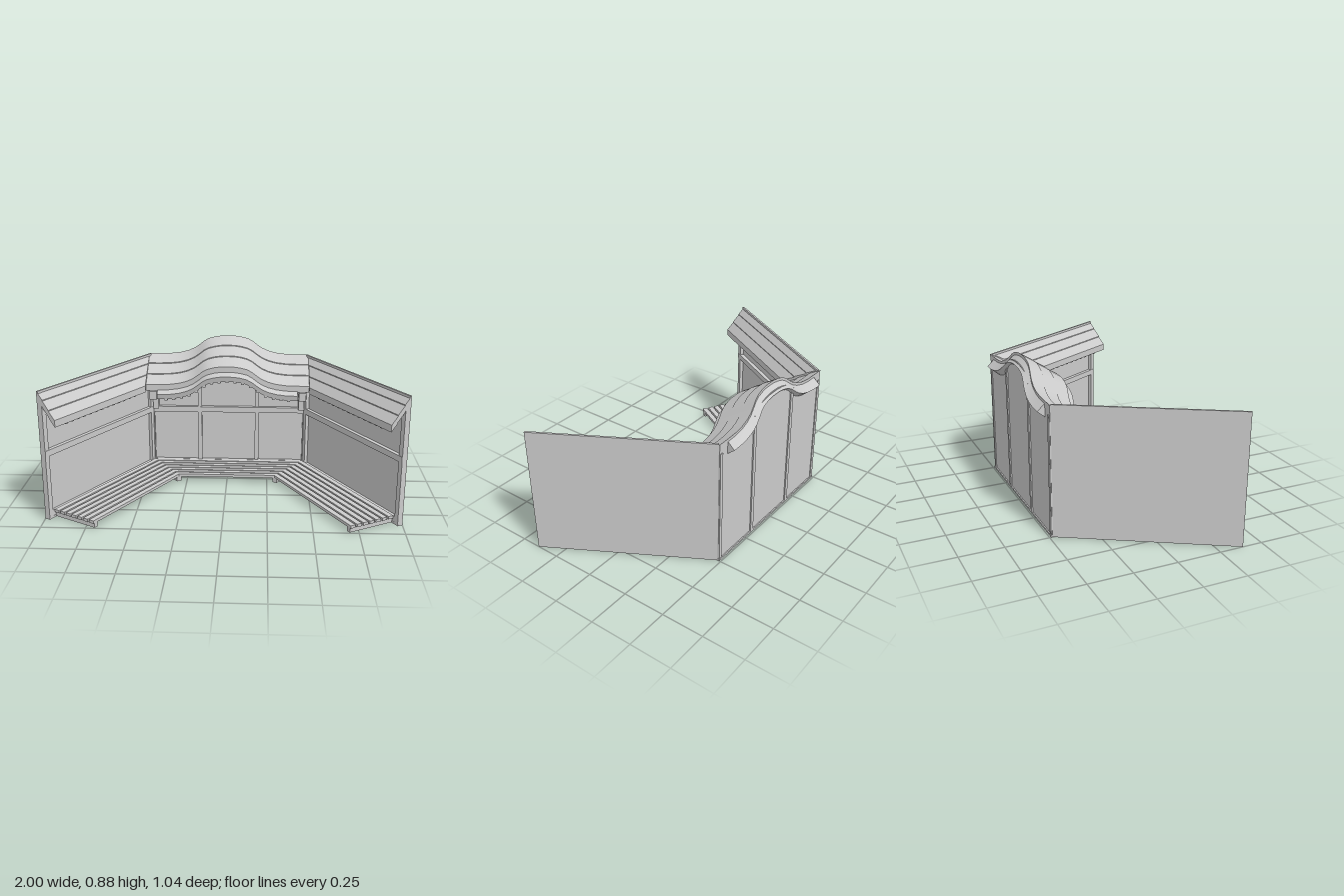
import * as THREE from 'three';
import { toCreasedNormals } from 'three/addons/utils/BufferGeometryUtils.js';

const material = new THREE.MeshStandardMaterial({ color: 0xcccccc, side: THREE.DoubleSide });

// Half of the arch: [distance from the middle, rise]
const ARCH = [[0, 0.125], [0.04, 0.124], [0.08, 0.118], [0.12, 0.107], [0.15, 0.09], [0.18, 0.065],
  [0.21, 0.043], [0.25, 0.024], [0.3, 0.01], [0.36, 0.002], [0.43, 0], [0.5, 0]];

function rise(x) {
  const a = Math.abs(x);
  for (let i = 1; i < ARCH.length; i++) {
    const [x0, y0] = ARCH[i - 1], [x1, y1] = ARCH[i];
    if (a <= x1) return y0 + (y1 - y0) * (a - x0) / (x1 - x0);
  }
  return 0;
}

function stations(half) {
  const right = ARCH.map(p => p[0]).filter(x => x <= half);
  return [...right.slice(1).reverse().map(x => -x), ...right];
}

// Closed solid through rings of [x, y, z] points, always wound outwards
function loft(name, rings) {
  const n = rings[0].length, pts = rings.flat(), faces = [];
  for (let r = 0; r < rings.length - 1; r++) {
    for (let i = 0; i < n; i++) {
      const a = r * n + i, b = r * n + (i + 1) % n;
      faces.push([a, b, b + n], [a, b + n, a + n]);
    }
  }
  const last = (rings.length - 1) * n;
  for (let i = 1; i < n - 1; i++) faces.push([0, i + 1, i], [last, last + i, last + i + 1]);
  const v = pts.map(p => new THREE.Vector3(...p));
  const mid = v.reduce((s, p) => s.add(p), new THREE.Vector3()).divideScalar(v.length);
  const rel = v.map(p => p.clone().sub(mid));
  let volume = 0;
  for (const [a, b, c] of faces) volume += rel[a].dot(rel[b].clone().cross(rel[c]));
  const index = faces.flatMap(([a, b, c]) => (volume < 0 ? [a, c, b] : [a, b, c]));
  const geometry = new THREE.BufferGeometry();
  geometry.setAttribute('position', new THREE.Float32BufferAttribute(pts.flat(), 3));
  geometry.setIndex(index);
  const mesh = new THREE.Mesh(toCreasedNormals(geometry, 0.5), material);
  mesh.name = name;
  return mesh;
}

// Axis-aligned beam given by its limits
function beam(name, x0, x1, y0, y1, z0, z1) {
  const mesh = new THREE.Mesh(new THREE.BoxGeometry(Math.abs(x1 - x0), y1 - y0, z1 - z0), material);
  mesh.position.set((x0 + x1) / 2, (y0 + y1) / 2, (z0 + z1) / 2);
  mesh.name = name;
  return mesh;
}

// Flat plank with a four-cornered plan of [x, z] points
function plank(name, plan, y0, y1) {
  return loft(name, [y0, y1].map(y => plan.map(([x, z]) => [x, y, z])));
}

// Ribbon with a [z, y] section that follows the arch, leaning forward as it rises
function archRibbon(name, half, section) {
  return loft(name, stations(half).map(x =>
    section.map(([z, y]) => [x, y + rise(x), z + 0.25 * rise(x)])));
}

// Sections of three lapped roof boards running from the ridge down to the eave
function boardSections(d0, d1) {
  return [0, 1, 2].map(i => {
    const a = d0 + (d1 - d0) * i / 3, b = d0 + (d1 - d0) * (i + 1) / 3;
    const ya = 0.75 - 0.05 * i, yb = ya - 0.045;
    return [[a, ya], [b, yb], [b, yb - 0.04], [a, ya - 0.04]];
  });
}

const SLATS = 7, PITCH = 0.0425, FIRST = 0.035, SLAT = 0.032;

function backSection() {
  const g = new THREE.Group();
  g.name = 'backSection';

  // Wall with arched top
  g.add(loft('backWall', stations(0.5).map(x => {
    const top = 0.71 + rise(x);
    return [[x, 0, -0.485], [x, top, -0.485], [x, top, -0.47], [x, 0, -0.47]];
  })));

  // Framing on both faces
  g.add(beam('backBottomRail', -0.5, 0.5, 0, 0.012, -0.492, -0.46));
  g.add(beam('frontBottomRail', -0.47, 0.47, 0.012, 0.05, -0.47, -0.45));
  g.add(beam('middleRail', -0.48, 0.48, 0.375, 0.41, -0.47, -0.445));
  for (const s of [-1, 1]) {
    g.add(beam('wallPost', s * 0.17, s * 0.195, 0, 0.71 + rise(0.185), -0.492, -0.452));
    g.add(beam('cornerPost', s * 0.475, s * 0.497, 0, 0.69, -0.49, -0.45));
    // Roof bracket: short post with an arm under the eave
    g.add(beam('bracketPost', s * 0.445, s * 0.48, 0.4, 0.5, -0.47, -0.43));
    g.add(beam('bracketArm', s * 0.44, s * 0.485, 0.5, 0.55, -0.47, -0.3));
  }

  // Arched roof boards and the trims below both eaves
  for (const section of boardSections(-0.487, -0.27)) g.add(archRibbon('archedRoofBoard', 0.5, section));
  g.add(archRibbon('frontEaveTrim', 0.43, [[-0.3, 0.59], [-0.238, 0.55], [-0.246, 0.518], [-0.31, 0.56]]));
  g.add(archRibbon('backEaveTrim', 0.43, [[-0.485, 0.735], [-0.505, 0.715], [-0.528, 0.695], [-0.485, 0.66]]));

  // Small blocks below the front trim
  for (let i = -8; i <= 8; i++) {
    const x = i * 0.047, y = 0.508 + rise(x), z = -0.27 + 0.25 * rise(x);
    g.add(beam('eaveBlock', x - 0.009, x + 0.009, y, y + 0.03, z - 0.03, z + 0.018));
  }

  // Bench slats, mitred at both ends
  for (let i = 0; i < SLATS; i++) {
    const a = FIRST + i * PITCH, b = a + SLAT;
    const xa = 0.5 - 0.629 * a, xb = 0.5 - 0.629 * b, za = -0.48 + 0.91 * a, zb = -0.48 + 0.91 * b;
    g.add(plank('backBenchSlat', [[-xa, za], [xa, za], [xb, zb], [-xb, zb]], 0.033, 0.05));
  }
  for (const s of [-1, 1]) {
    g.add(plank('cornerSupport',
      [[s * 0.49, -0.44], [s * 0.465, -0.46], [s * 0.285, -0.195], [s * 0.31, -0.18]], 0.002, 0.033));
  }
  return g;
}

// Wing: local x runs outward along the wall (times s), local z points into the room
function wing(s) {
  const g = new THREE.Group();
  g.name = s > 0 ? 'leftWing' : 'rightWing';
  g.position.set(s * 0.5, 0, -0.48);
  g.rotation.y = -s * Math.PI / 3;

  // Wall and framing
  g.add(beam('sideWall', 0, s, 0.012, 0.75, 0, 0.012));
  g.add(beam('sideBottomRail', 0, s, 0, 0.012, 0, 0.032));
  g.add(beam('sideLowerRail', s * 0.02, s * 0.97, 0.012, 0.045, 0.012, 0.03));
  g.add(beam('sideMiddleRail', s * 0.02, s, 0.375, 0.41, 0.012, 0.036));
  g.add(beam('sideEndPost', s * 0.97, s, 0.012, 0.7, 0.012, 0.034));
  g.add(beam('sideInnerPost', s * 0.02, s * 0.045, 0.012, 0.68, 0.012, 0.034));

  // Sloping roof boards, cut to meet the arched roof
  for (const section of boardSections(0, 0.122)) {
    g.add(loft('sideRoofBoard', [
      section.map(([d, y]) => [s * 1.732 * d, y, d]),
      section.map(([d, y]) => [s, y, d]),
    ]));
  }

  // Small blocks below the eave
  for (let i = 0; i < 13; i++) {
    const u = 0.3 + i * 0.05;
    g.add(beam('sideEaveBlock', s * (u - 0.01), s * (u + 0.01), 0.557, 0.58, 0.085, 0.112));
  }

  // Bench slats, mitred at the corner
  for (let i = 0; i < SLATS; i++) {
    const a = FIRST + i * PITCH, b = a + SLAT;
    g.add(plank('sideBenchSlat',
      [[s * 0.473 * a, a], [s * 0.96, a], [s * 0.96, b], [s * 0.473 * b, b]], 0.033, 0.05));
  }
  g.add(beam('benchEndSupport', s * 0.925, s * 0.95, 0.005, 0.033, 0.035, 0.32));
  return g;
}

export function createModel() {
  const model = new THREE.Group();
  model.name = 'shelter';
  model.add(backSection(), wing(1), wing(-1));
  return model;
}
